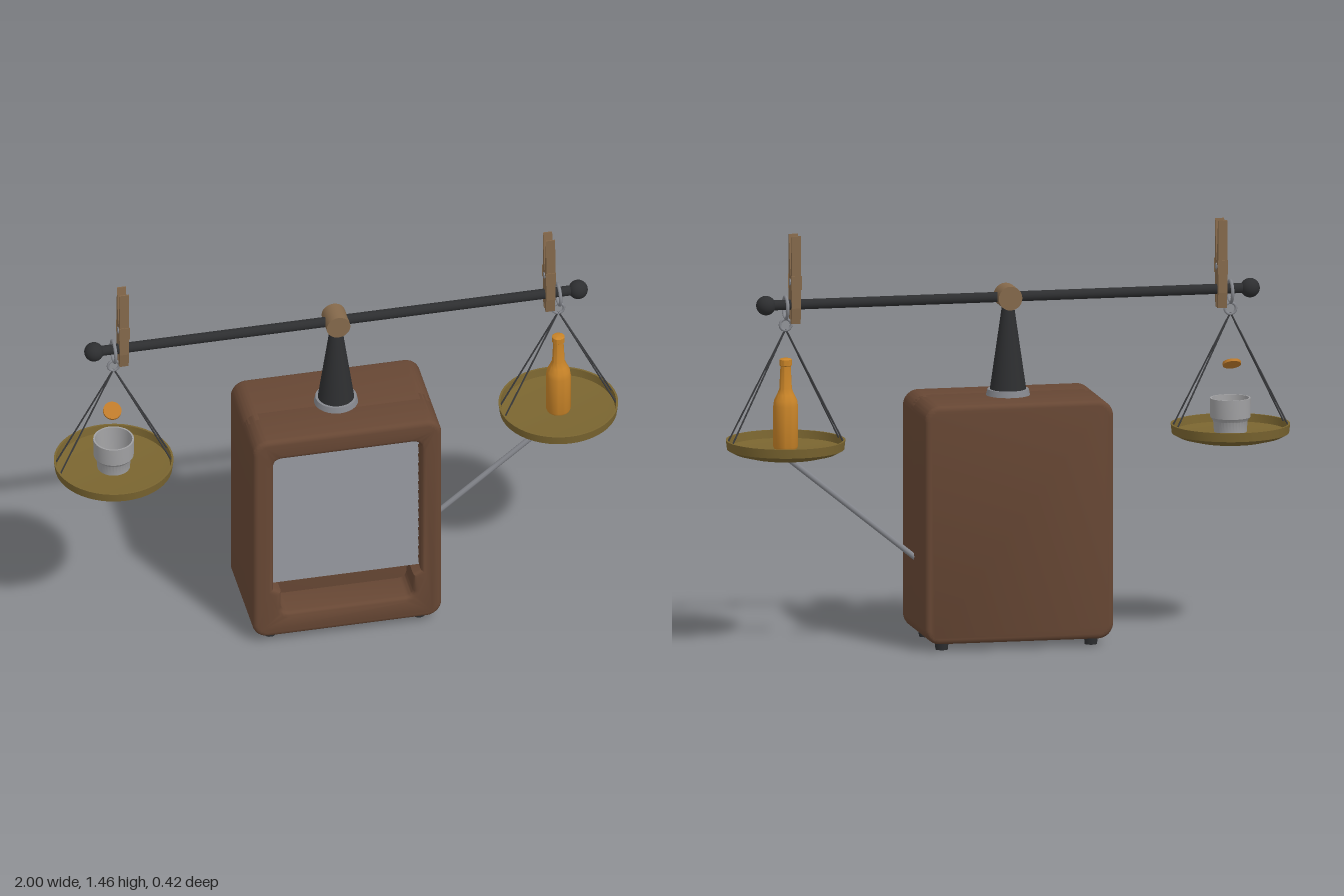
import * as THREE from 'three';
import { toCreasedNormals } from 'three/addons/utils/BufferGeometryUtils.js';

const mat = (name, color, side = THREE.FrontSide) => {
  const m = new THREE.MeshStandardMaterial({ color, side });
  m.name = name;
  return m;
};

export function createModel() {
  const brown = mat('brown casing', 0x674734);
  const black = mat('black iron', 0x2d2e30);
  const steel = mat('steel', 0x85878d);
  const tin = mat('tin', 0xa0a0a2, THREE.DoubleSide);
  const brass = mat('dull brass', 0x7a6530, THREE.DoubleSide);
  const amber = mat('amber glass', 0xc98428);
  const copper = mat('copper', 0xbd7a2a);
  const wood = mat('wood', 0x85694b);
  const cord = mat('cord', 0x3c3d40);

  const model = new THREE.Group();
  model.name = 'balanceScale';
  const add = (name, geo, material, x = 0, y = 0, z = 0, parent = model) => {
    const mesh = new THREE.Mesh(geo, material);
    mesh.name = name;
    mesh.position.set(x, y, z);
    parent.add(mesh);
    return mesh;
  };
  const cyl = (rTop, rBottom, h, n = 24) => new THREE.CylinderGeometry(rTop, rBottom, h, n);
  const rod = (name, a, b, r, material, parent = model) => {
    const curve = new THREE.LineCurve3(new THREE.Vector3(...a), new THREE.Vector3(...b));
    return add(name, new THREE.TubeGeometry(curve, 1, r, 8), material, 0, 0, 0, parent);
  };
  const lathe = (points, n = 32) =>
    toCreasedNormals(new THREE.LatheGeometry(points.map(p => new THREE.Vector2(...p)), n), 0.6);

  // Casing: solid rear block and an overlapping front frame with a stepped opening
  const outline = () => {
    const s = new THREE.Shape(), w = 0.335, b = 0.025, t = 0.865, r = 0.055;
    s.absarc(w - r, b + r, r, -Math.PI / 2, 0);
    s.absarc(w - r, t - r, r, 0, Math.PI / 2);
    s.absarc(-w + r, t - r, r, Math.PI / 2, Math.PI);
    s.absarc(-w + r, b + r, r, Math.PI, Math.PI * 1.5);
    s.closePath();
    return s;
  };
  const slab = (shape, z0, z1) => {
    const bev = 0.018;
    const g = new THREE.ExtrudeGeometry(shape, {
      depth: z1 - z0 - 2 * bev, bevelThickness: bev, bevelSize: bev, bevelOffset: -bev,
      bevelSegments: 4, curveSegments: 8,
    });
    g.translate(0, 0, z0 + bev);
    return toCreasedNormals(g, 0.6);
  };
  add('casingBack', slab(outline(), -0.193, 0.07), brown);
  const front = outline();
  const hole = new THREE.Path();
  hole.moveTo(-0.262, 0.225);
  hole.lineTo(-0.262, 0.75);
  hole.quadraticCurveTo(-0.262, 0.782, -0.23, 0.782);
  hole.lineTo(0.23, 0.782);
  hole.quadraticCurveTo(0.262, 0.782, 0.262, 0.75);
  hole.lineTo(0.262, 0.225);
  hole.lineTo(0.235, 0.21);
  hole.lineTo(0.235, 0.15);
  hole.quadraticCurveTo(0.235, 0.118, 0.2, 0.118);
  hole.lineTo(-0.2, 0.118);
  hole.quadraticCurveTo(-0.235, 0.118, -0.235, 0.15);
  hole.lineTo(-0.235, 0.21);
  hole.closePath();
  front.holes.push(hole);
  add('casingFrame', slab(front, 0.0, 0.193), brown);

  // Louvred grille
  add('grilleBack', new THREE.BoxGeometry(0.524, 0.56, 0.03), steel, 0, 0.502, 0.085);
  for (let i = 0; i < 14; i++) {
    const slat = add('grilleSlat', new THREE.BoxGeometry(0.526, 0.046, 0.008), steel, 0, 0.245 + i * 0.0398, 0.135);
    slat.rotation.x = -0.5;
  }

  // Feet
  for (const x of [-0.265, 0.265]) for (const z of [-0.135, 0.135])
    add('foot', cyl(0.025, 0.022, 0.035, 16), black, x, 0.0175, z);

  // Pillar, hub and beam
  add('pillarBase', cyl(0.072, 0.077, 0.022, 32), steel, 0, 0.875);
  add('pillar', cyl(0.018, 0.064, 0.32, 32), black, 0, 1.04);
  add('hub', cyl(0.042, 0.042, 0.086), wood, 0, 1.21, 0).rotation.x = Math.PI / 2;
  add('beam', cyl(0.018, 0.018, 1.72, 16), black, 0, 1.21).rotation.z = Math.PI / 2;

  // One leg of a clothes peg, drawn in the z-y plane and given thickness along x
  const pegLeg = s => {
    const pts = [[0.003, 1.145], [0.02, 1.145], [0.028, 1.2], [0.027, 1.455], [0.023, 1.455], [0.002, 1.31], [0.002, 1.23]];
    const shape = new THREE.Shape(pts.map(([z, y]) => new THREE.Vector2(s * z, y)));
    return new THREE.ExtrudeGeometry(shape, { depth: 0.032, bevelEnabled: false })
      .rotateY(-Math.PI / 2).translate(0.016, 0, 0);
  };

  const panProfile = [[0, 0.665], [0.07, 0.668], [0.13, 0.677], [0.18, 0.69], [0.204, 0.703], [0.208, 0.735],
    [0.201, 0.735], [0.197, 0.707], [0.17, 0.704], [0, 0.704]];

  // Both hanging sides
  for (const side of [-1, 1]) {
    const g = new THREE.Group();
    g.name = side > 0 ? 'leftSide' : 'rightSide';
    model.add(g);
    const x = side * 0.79;
    add('beamKnob', new THREE.SphereGeometry(0.034, 24, 16), black, side * 0.86, 1.21, 0, g);
    for (const s of [-1, 1]) add('pegLeg', pegLeg(s), wood, side * 0.757, 0, 0, g);
    add('pegSpring', cyl(0.012, 0.012, 0.038, 12), steel, side * 0.757, 1.29, 0, g).rotation.z = Math.PI / 2;
    for (const s of [-1, 1])
      add('pegWire', new THREE.BoxGeometry(0.036, 0.05, 0.004), wood, side * 0.757, 1.29, s * 0.028, g);
    add('hangerLoop', new THREE.TorusGeometry(0.038, 0.006, 8, 24), steel, x, 1.2, 0, g).rotation.y = Math.PI / 2;
    add('hangerRing', new THREE.TorusGeometry(0.02, 0.005, 8, 20), steel, x, 1.14, 0, g);
    for (const sx of [-1, 1]) for (const sz of [-1, 1])
      rod('panCord', [x, 1.125, 0], [x + sx * 0.196, 0.73, sz * 0.035], 0.003, cord, g);
    add('pan', lathe(panProfile, 48), brass, x, 0, 0, g);
  }

  // Cup and floating coin
  add('cup', lathe([[0, 0.706], [0.057, 0.706], [0.06, 0.745], [0.07, 0.758], [0.071, 0.825],
    [0.065, 0.825], [0.056, 0.72], [0, 0.72]]), tin, -0.79);
  add('coin', cyl(0.032, 0.032, 0.01), copper, -0.795, 0.945, 0).rotation.x = 0.6;

  // Bottle
  add('bottle', lathe([[0, 0.705], [0.04, 0.705], [0.043, 0.712], [0.043, 0.855], [0.04, 0.875], [0.03, 0.895],
    [0.022, 0.915], [0.018, 0.995], [0.022, 0.998], [0.022, 1.018], [0.017, 1.021], [0, 1.021]]), amber, 0.79);

  // Slanted rod from the casing to a pan
  rod('slantedRod', [0.32, 0.295, 0], [0.79, 0.675, 0], 0.01, steel);

  return model;
}
